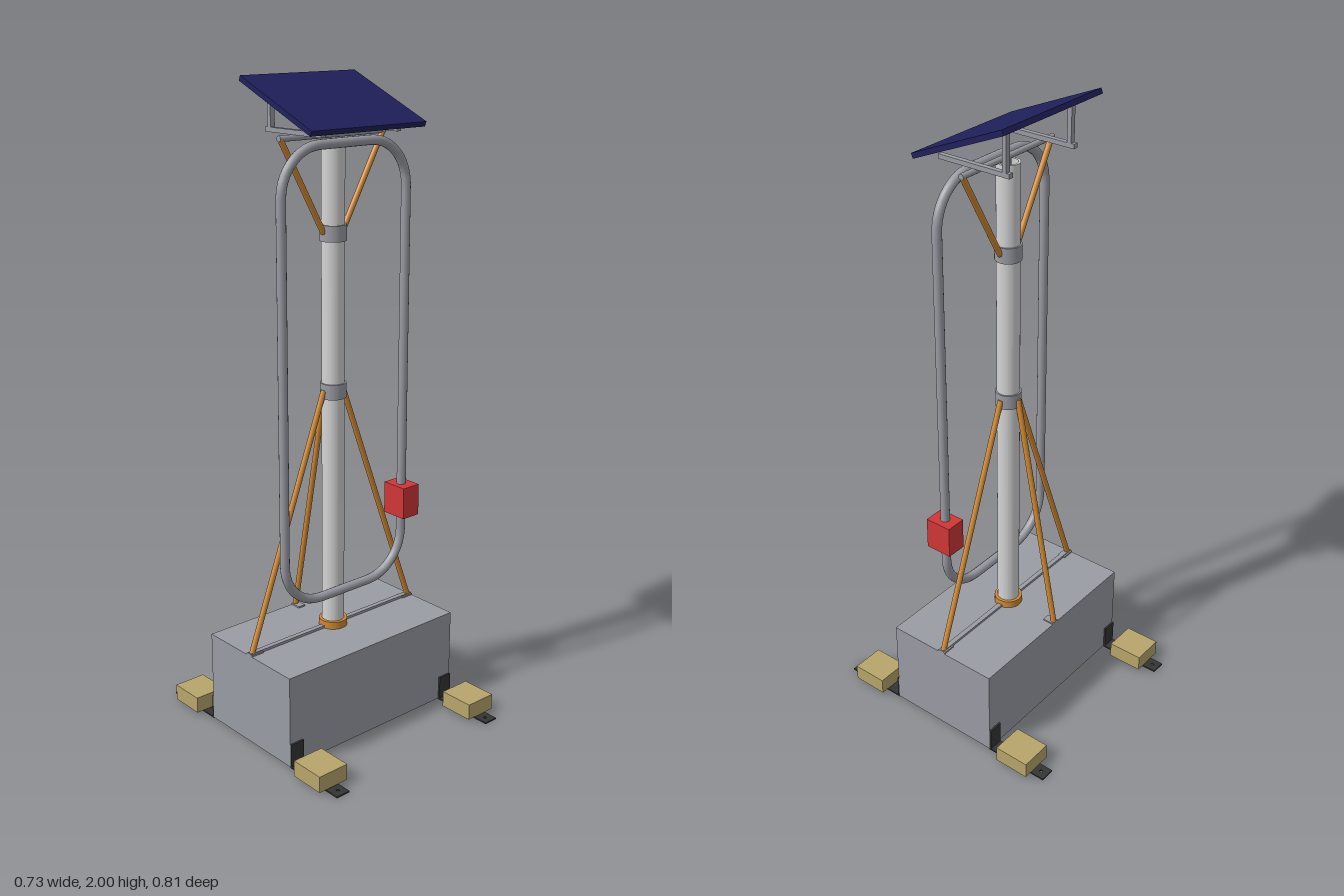
import * as THREE from 'three';

const mat = (name, color, extra = {}) => {
  const m = new THREE.MeshStandardMaterial({ color, ...extra });
  m.name = name;
  return m;
};

export function createModel() {
  const root = new THREE.Group();
  root.name = 'solarMast';
  const grey = mat('steelGrey', 0x9a9ca4);
  const pale = mat('paleMast', 0xd4d4d4);
  const orange = mat('orangeBrace', 0xd08a34);
  const navy = mat('panelNavy', 0x20205c);
  const red = mat('redBox', 0xd23636);
  const tan = mat('tanBlock', 0xb8a56c);
  const black = mat('blackBracket', 0x343434);

  const add = (name, geo, material, x = 0, y = 0, z = 0) => {
    const mesh = new THREE.Mesh(geo, material);
    mesh.name = name;
    mesh.position.set(x, y, z);
    root.add(mesh);
    return mesh;
  };
  // Box given by its limits on each axis
  const box = (name, material, x0, x1, y0, y1, z0, z1) =>
    add(name, new THREE.BoxGeometry(x1 - x0, y1 - y0, z1 - z0), material,
      (x0 + x1) / 2, (y0 + y1) / 2, (z0 + z1) / 2);
  // Round rod between two points
  const rod = (name, material, a, b, r) => {
    const p = new THREE.Vector3(...a), q = new THREE.Vector3(...b);
    const d = q.clone().sub(p);
    const mesh = add(name, new THREE.CylinderGeometry(r, r, d.length(), 16), material);
    mesh.position.copy(p).add(q).multiplyScalar(0.5);
    mesh.quaternion.setFromUnitVectors(new THREE.Vector3(0, 1, 0), d.normalize());
    return mesh;
  };
  // Hollow upright tube with flat ends
  const pipe = (name, material, ro, ri, y0, y1) => {
    const s = new THREE.Shape().absarc(0, 0, ro, 0, Math.PI * 2);
    s.holes.push(new THREE.Path().absarc(0, 0, ri, 0, Math.PI * 2, true));
    const geo = new THREE.ExtrudeGeometry(s, { depth: y1 - y0, bevelEnabled: false, curveSegments: 24 });
    geo.rotateX(-Math.PI / 2);
    return add(name, geo, material, 0, y0, 0);
  };

  // Ballast base and the anchor bars on top
  box('base', grey, -0.338, 0.338, 0.003, 0.298, -0.193, 0.193);
  box('anchorBar', grey, -0.338, 0.338, 0.298, 0.306, -0.008, 0.008);
  box('backAnchorPlate', grey, -0.013, 0.013, 0.298, 0.303, -0.193, -0.155);

  // Corner feet: L bracket with a bolt hole, and a weight block
  for (const sx of [-1, 1]) {
    box('sideAnchorPlate', grey, sx * 0.316 - 0.022, sx * 0.316 + 0.022, 0.298, 0.303, -0.013, 0.013);
    for (const sz of [-1, 1]) {
      const x = sx * 0.314;
      const s = new THREE.Shape();
      s.moveTo(-0.024, -0.106).lineTo(0.024, -0.106).lineTo(0.024, 0.106).lineTo(-0.024, 0.106).closePath();
      s.holes.push(new THREE.Path().absarc(0, -sz * 0.082, 0.005, 0, Math.PI * 2, true));
      const foot = new THREE.ExtrudeGeometry(s, { depth: 0.005, bevelEnabled: false });
      foot.rotateX(-Math.PI / 2);
      add('bracketFoot', foot, black, x, 0, sz * 0.299);
      const z = sz * 0.196;
      box('bracketUpright', black, x - 0.024, x + 0.024, 0, 0.08, z - 0.003, z + 0.003);
      const bx = sx * 0.3125, bz = sz * 0.302;
      box('weightBlock', tan, bx - 0.053, bx + 0.053, 0.008, 0.06, bz - 0.058, bz + 0.058);
    }
  }

  // Mast with collars
  pipe('mast', pale, 0.035, 0.028, 0.298, 1.82);
  pipe('mastFootRing', orange, 0.045, 0.034, 0.298, 0.322);
  pipe('lowerCollar', grey, 0.04, 0.034, 1.053, 1.1);
  pipe('upperCollar', grey, 0.04, 0.034, 1.53, 1.578);

  // Braces
  for (const s of [-1, 1]) {
    rod('lowerBrace', orange, [s * 0.327, 0.302, 0], [s * 0.037, 1.08, 0], 0.009);
    rod('upperBrace', orange, [s * 0.037, 1.555, 0], [s * 0.193, 1.832, 0], 0.009);
  }
  rod('backBrace', orange, [0, 0.302, -0.187], [0, 1.08, -0.037], 0.009);

  // Rounded pipe loop in front of the mast
  const w = 0.239, r = 0.14, y0 = 0.44, y1 = 1.817, z = 0.055;
  const loop = new THREE.CurvePath();
  const corners = [[w - r, y1 - r, 0], [r - w, y1 - r, 1], [r - w, y0 + r, 2], [w - r, y0 + r, 3]];
  const points = [];
  for (const [cx, cy, q] of corners)
    for (let i = 0; i <= 10; i++) {
      const a = (q + i / 10) * Math.PI / 2;
      points.push(new THREE.Vector3(cx + r * Math.cos(a), cy + r * Math.sin(a), z));
    }
  points.forEach((p, i) => loop.add(new THREE.LineCurve3(p, points[(i + 1) % points.length])));
  add('pipeLoop', new THREE.TubeGeometry(loop, 200, 0.0145, 14, true), grey);

  // Control box on the loop
  box('controlBox', red, 0.207, 0.273, 0.63, 0.732, 0.012, 0.1);

  // Panel support frame
  rod('crossBar', grey, [-0.2, 1.835, 0], [0.2, 1.835, 0], 0.009);
  rod('mastPin', grey, [0, 1.8, 0], [0, 1.835, 0], 0.008);
  for (const s of [-1, 1]) {
    box('panelArm', grey, s * 0.142 - 0.008, s * 0.142 + 0.008, 1.843, 1.857, -0.122, 0.122);
    box('panelPost', grey, s * 0.142 - 0.008, s * 0.142 + 0.008, 1.857, 1.966, -0.112, -0.098);
  }

  // Tilted solar panel
  const panel = add('solarPanel', new THREE.BoxGeometry(0.43, 0.016, 0.336), navy, 0, 1.927, 0.002);
  panel.rotation.x = THREE.MathUtils.degToRad(23);

  return root;
}
